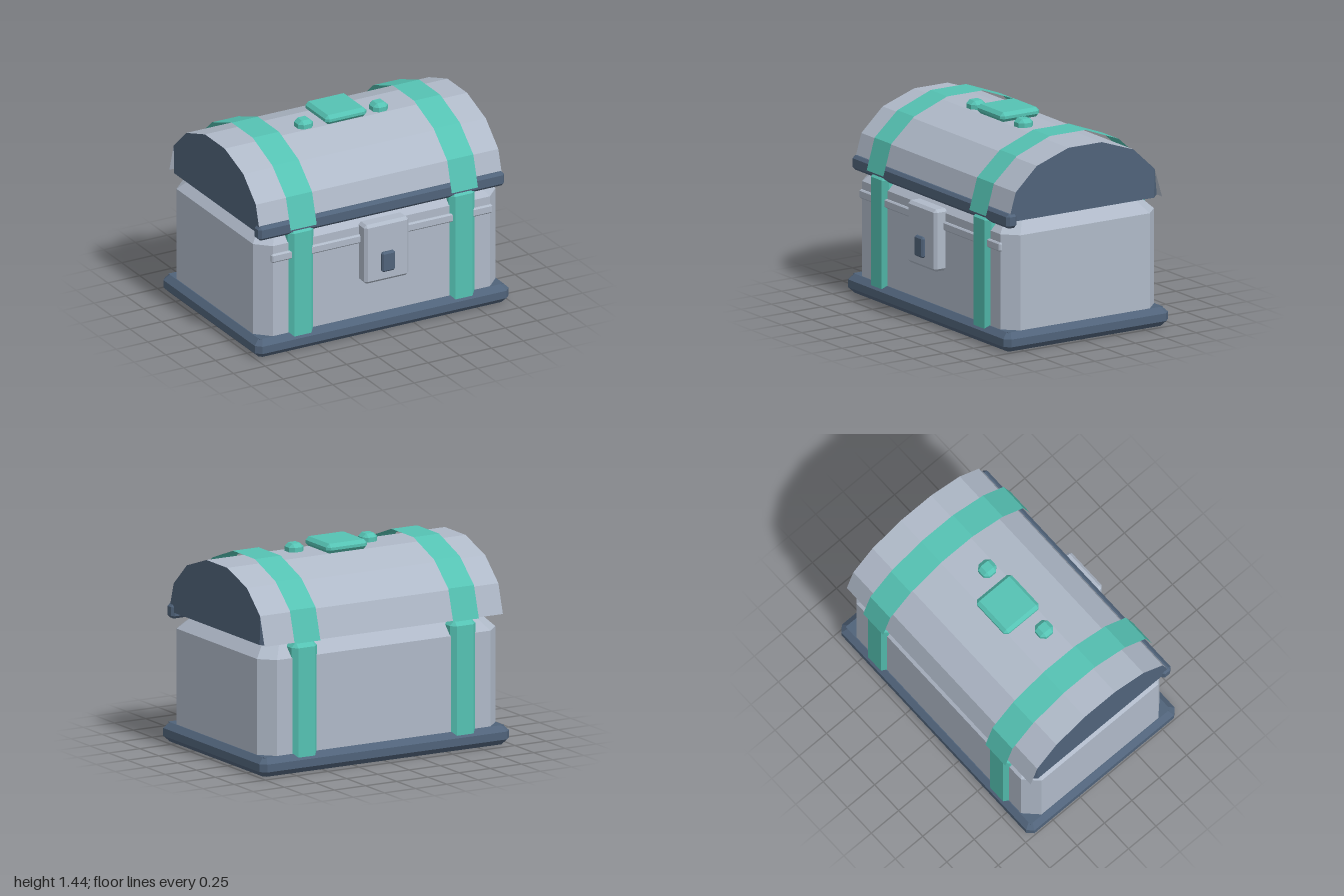
import * as THREE from 'three';
import { ConvexGeometry } from 'three/addons/geometries/ConvexGeometry.js';

const mat = (name, color) => {
  const m = new THREE.MeshStandardMaterial({ color, side: THREE.DoubleSide });
  m.name = name;
  return m;
};

// Box with every edge cut by a flat bevel b
function bevelBox(x0, x1, y0, y1, z0, z1, b) {
  const pts = [];
  for (const [x, sx] of [[x0, 1], [x1, -1]])
    for (const [y, sy] of [[y0, 1], [y1, -1]])
      for (const [z, sz] of [[z0, 1], [z1, -1]]) {
        pts.push(new THREE.Vector3(x, y + sy * b, z + sz * b));
        pts.push(new THREE.Vector3(x + sx * b, y, z + sz * b));
        pts.push(new THREE.Vector3(x + sx * b, y + sy * b, z));
      }
  return new ConvexGeometry(pts);
}

// Rectangle with cut corners at height y, running anticlockwise seen from above
const cutRect = (x0, x1, z0, z1, y, inset, cut) => {
  const [a, b, c, d] = [x0 + inset, x1 - inset, z0 + inset, z1 - inset];
  return [
    [a + cut, y, d], [b - cut, y, d], [b, y, d - cut], [b, y, c + cut],
    [b - cut, y, c], [a + cut, y, c], [a, y, c + cut], [a, y, d - cut],
  ];
};

// Solid through stacked cut-corner rectangles: levels of [y, inset, cut]
const stack = (x0, x1, z0, z1, levels) => new ConvexGeometry(
  levels.flatMap((l) => cutRect(x0, x1, z0, z1, ...l)).map((p) => new THREE.Vector3(...p)));

// Flat-shaded surface from a list of triangles of [x, y, z]
function facets(tris) {
  const g = new THREE.BufferGeometry();
  g.setAttribute('position', new THREE.Float32BufferAttribute(tris.flat(2), 3));
  g.computeVertexNormals();
  return g;
}

// Hollow shell through the same kind of levels, open at both ends
function shell(x0, x1, z0, z1, levels) {
  const tris = [];
  const rows = levels.map((l) => cutRect(x0, x1, z0, z1, ...l));
  for (let r = 0; r < rows.length - 1; r++)
    for (let i = 0; i < 8; i++) {
      const j = (i + 1) % 8, lo = rows[r], hi = rows[r + 1];
      tris.push([lo[i], lo[j], hi[j]], [lo[i], hi[j], hi[i]]);
    }
  return facets(tris);
}

// Open sheet following a [z, y] profile (front to back) between two x positions
function sheet(profile, x0, x1) {
  const tris = [];
  for (let i = 0; i < profile.length - 1; i++) {
    const [za, ya] = profile[i], [zb, yb] = profile[i + 1];
    const a = [x0, ya, za], b = [x1, ya, za], c = [x1, yb, zb], d = [x0, yb, zb];
    tris.push([a, b, c], [a, c, d]);
  }
  return facets(tris);
}

// Symmetric arch about the chest's depth centre from half-width/height pairs
const ZC = -0.0325;
const arch = (half) => [
  ...half.map(([w, y]) => [ZC + w, y]),
  ...[...half].reverse().map(([w, y]) => [ZC - w, y]),
];

export function createModel() {
  const model = new THREE.Group();
  model.name = 'chest';
  const grey = mat('pale grey panel', 0xafb9c8);
  const slate = mat('dark slate trim', 0x50637a);
  const teal = mat('teal metal', 0x55c2b3);
  const add = (name, geo, material) => {
    const m = new THREE.Mesh(geo, material);
    m.name = name;
    model.add(m);
  };

  // Base: bevelled tray, hollow underneath, with its top closed at one level
  add('baseFrame', shell(-1, 1, -0.71, 0.645,
    [[0, 0.04, 0.02], [0.04, 0, 0.04], [0.095, 0, 0.04], [0.135, 0.04, 0.02]]), slate);
  add('baseTop', new THREE.BoxGeometry(1.92, 0.004, 1.275).translate(0, 0.133, ZC), slate);

  // Body with cut corners and a sloped shoulder, its foot dipping through the base
  add('body', shell(-0.955, 0.955, -0.665, 0.6,
    [[0.115, 0, 0.1], [0.81, 0, 0.1], [0.915, 0.1, 0.08], [0.915, 0.63, 0.001]]), grey);

  // Arched lid shell, hollow and open underneath
  const lid = arch([[0.6325, 0.915], [0.5725, 1.12], [0.3975, 1.283], [0.1375, 1.373]]);
  add('lidShell', sheet(lid, -0.955, 0.955), grey);

  for (const s of [-1, 1]) {
    const side = s > 0 ? 'left' : 'right';

    // Lid end with a folded back corner
    const rim = [...lid.slice(0, 7), [-0.6, 0.915]].map(([z, y]) => [s * 0.955, y, z]);
    const end = [[rim[6], rim[7], [s * 0.89, 0.915, -0.665]]];
    for (let i = 1; i < rim.length - 1; i++) end.push([rim[0], rim[i], rim[i + 1]]);
    add(side + 'LidEnd', facets(end), slate);

    // Hollow strap around the body, open below, and a sheet strap over the lid
    const x = s * 0.635;
    add(side + 'BodyStrap', shell(x - 0.102, x + 0.102, -0.695, 0.63,
      [[0.005, 0.035, 0.002], [0.04, 0, 0.035], [0.88, 0, 0.035], [0.915, 0.035, 0.002]]), teal);
    const over = arch([[0.673, 0.918], [0.608, 1.14], [0.42, 1.307], [0.146, 1.41]]);
    add(side + 'LidStrap', sheet(over, x - 0.103, x + 0.103), teal);

    // Small studs beside the top plate, reaching through the lid
    add(side + 'Stud', stack(s * 0.295 - 0.058, s * 0.295 + 0.058, -0.022, 0.096,
      [[1.32, 0.027, 0.003], [1.345, 0, 0.03], [1.405, 0, 0.03], [1.43, 0.027, 0.003]]), teal);
  }

  // Lip along the front edge of the lid
  add('lidLip', bevelBox(-0.97, 0.97, 0.87, 0.973, 0.53, 0.615, 0.02), slate);

  // Plate on top of the lid
  add('topPlate', bevelBox(-0.163, 0.163, 1.375, 1.443, -0.195, 0.125, 0.024), teal);

  // Front rail, lock plate and keyhole
  add('frontRail', bevelBox(-0.87, 0.87, 0.688, 0.752, 0.587, 0.617, 0.01), grey);
  add('lockPlate', bevelBox(-0.175, 0.175, 0.4, 0.84, 0.57, 0.685, 0.02), grey);
  add('keyhole', bevelBox(-0.052, 0.052, 0.475, 0.622, 0.66, 0.71, 0.012), slate);

  return model;
}
